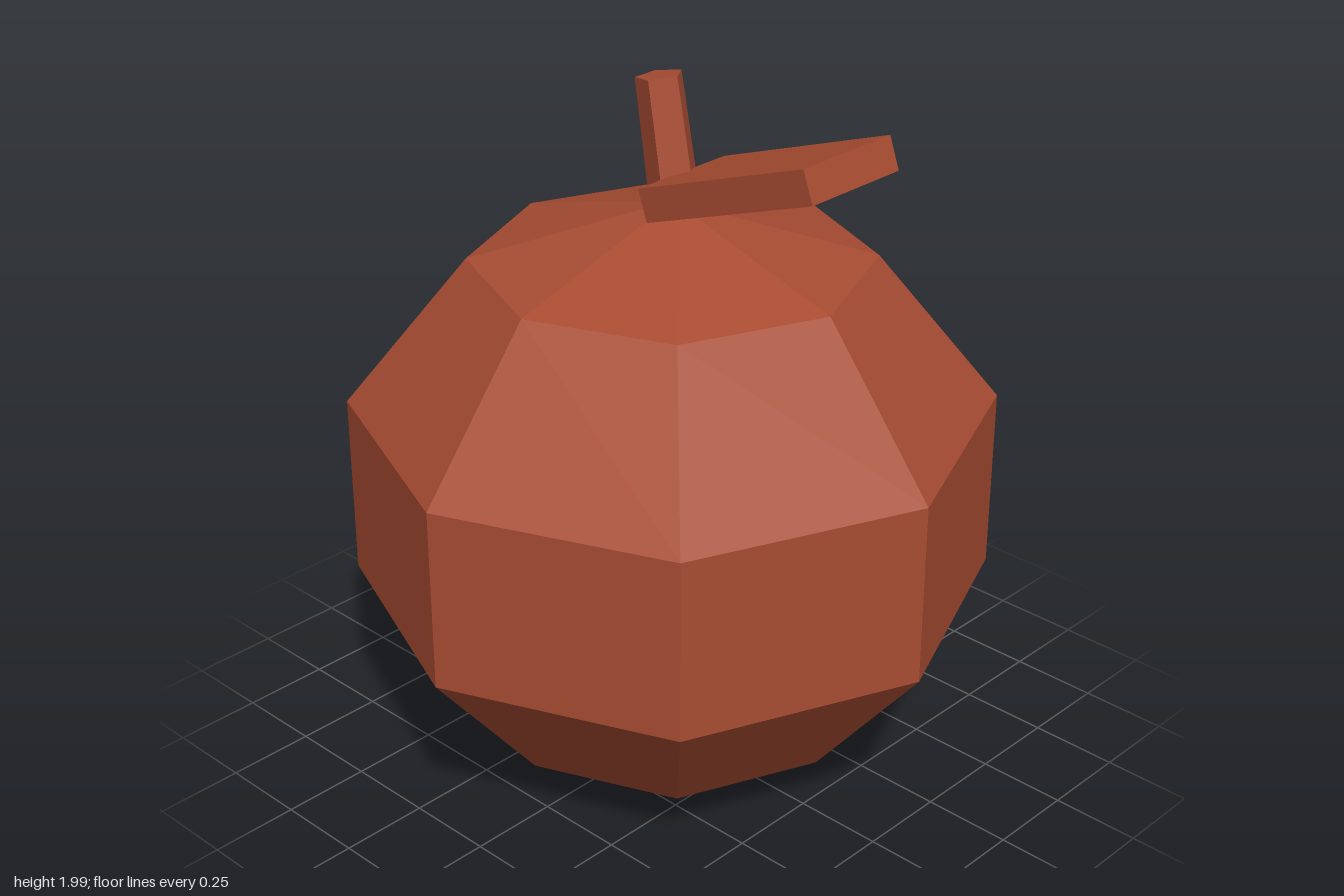
import * as THREE from 'three';

export function createModel() {
  const model = new THREE.Group();
  const russet = new THREE.MeshStandardMaterial({ color: 0xa84c32, flatShading: true });
  russet.name = 'russet';

  const add = (name, geometry, x, y, tilt = 0) => {
    const mesh = new THREE.Mesh(geometry, russet);
    mesh.name = name;
    mesh.position.set(x, y, 0);
    mesh.rotation.z = tilt;
    model.add(mesh);
    return mesh;
  };

  // Faceted fruit, slightly squashed
  const radius = 0.92, halfHeight = 0.826;
  add('fruitBody', new THREE.SphereGeometry(radius, 8, 5), 0, halfHeight + 0.004)
    .scale.y = halfHeight / radius;

  // Five-sided tapered stem leaning left, one edge pointing to +x
  const stemLength = 0.4, lean = 0.175;
  const stem = new THREE.CylinderGeometry(0.064, 0.071, stemLength, 5, 1, false, Math.PI / 2);
  add('stem', stem,
    -0.047 + Math.sin(lean) * stemLength / 2,
    1.985 - Math.cos(lean) * stemLength / 2, lean);

  // Slab leaf rising from the stem
  add('leaf', new THREE.BoxGeometry(0.58, 0.09, 0.32), 0.32, 1.8, 0.348);

  return model;
}
